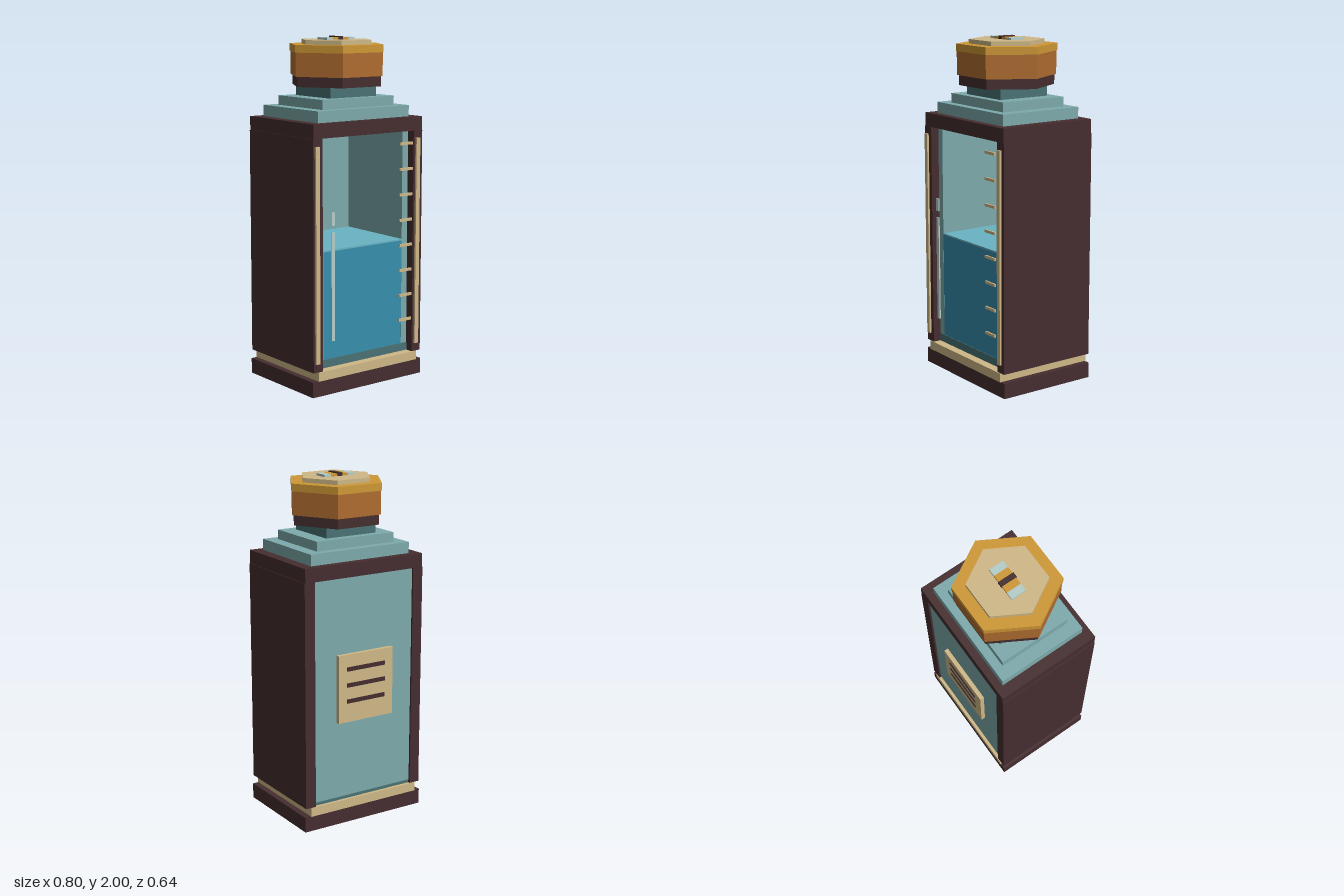
import * as THREE from 'three';

const mat = (name, color) => {
  const m = new THREE.MeshStandardMaterial({ color });
  m.name = name;
  return m;
};

export function createModel() {
  const darkWood = mat('dark wood', 0x452d2f);
  const teal = mat('teal', 0x7eaaac);
  const deepTeal = mat('deep teal', 0x4a7274);
  const tan = mat('tan', 0xcfb887);
  const gold = mat('gold', 0xce9835);
  const amber = mat('amber', 0xae6c2f);
  const pale = mat('pale glass', 0xb5cdc9);
  const liquid = mat('liquid', 0x368eac);
  const surface = mat('liquid surface', 0x6ab4c5);

  const model = new THREE.Group();
  model.name = 'bottle';

  // Box from its min and max corners
  const box = (name, m, [x0, x1], [y0, y1], [z0, z1]) => {
    const mesh = new THREE.Mesh(new THREE.BoxGeometry(x1 - x0, y1 - y0, z1 - z0), m);
    mesh.position.set((x0 + x1) / 2, (y0 + y1) / 2, (z0 + z1) / 2);
    mesh.name = name;
    model.add(mesh);
  };
  // Box centred on x and z
  const slab = (name, m, hx, y, hz) => box(name, m, [-hx, hx], y, [-hz, hz]);
  // Hexagonal layer with corners on the x axis
  const hex = (name, m, r, y0, y1) => {
    const geo = new THREE.CylinderGeometry(r, r, y1 - y0, 6).toNonIndexed();
    geo.rotateY(Math.PI / 6 * 3);
    geo.computeVertexNormals();
    const mesh = new THREE.Mesh(geo, m);
    mesh.position.y = (y0 + y1) / 2;
    mesh.name = name;
    model.add(mesh);
  };

  // Base
  slab('basePlinth', darkWood, 0.4, [0, 0.09], 0.307);
  slab('baseBand', tan, 0.363, [0.09, 0.143], 0.312);

  // Outer case and inner tank walls
  for (const s of [-1, 1]) {
    const span = (a, b) => (s > 0 ? [a, b] : [-b, -a]);
    box('sidePanel', darkWood, span(0.33, 0.395), [0.143, 1.46], [-0.307, 0.307]);
    box('tankSideWall', teal, span(0.288, 0.33), [0.19, 1.46], [-0.245, 0.257]);
  }
  slab('topFrame', darkWood, 0.391, [1.46, 1.54], 0.307);
  box('tankBack', teal, [-0.33, 0.33], [0.163, 1.46], [-0.296, -0.245]);
  box('tankFloor', deepTeal, [-0.33, 0.33], [0.143, 0.19], [-0.293, 0.26]);

  // Liquid
  box('liquidBody', liquid, [-0.288, 0.288], [0.19, 0.812], [-0.245, 0.256]);
  box('liquidSurface', surface, [-0.288, 0.288], [0.812, 0.821], [-0.245, 0.256]);

  // Front trims, measuring ticks and glints
  box('frontTrim', tan, [-0.384, -0.357], [0.193, 1.418], [0.307, 0.319]);
  box('frontTrim', tan, [0.343, 0.371], [0.193, 1.418], [0.307, 0.319]);
  for (let i = 0; i < 8; i++) {
    const y = 0.35 + i * 0.1487;
    box('measureTick', tan, [0.223, 0.317], [y - 0.008, y + 0.008], [0.306, 0.316]);
  }
  box('longGlint', pale, [-0.274, -0.25], [0.31, 0.93], [0.307, 0.315]);
  box('shortGlint', pale, [-0.274, -0.25], [0.97, 1.045], [0.307, 0.315]);

  // Rear label plate with slots
  box('rearPlate', tan, [-0.184, 0.184], [0.62, 1.02], [-0.321, -0.296]);
  for (const y of [0.745, 0.84, 0.935]) {
    box('rearSlot', darkWood, [-0.128, 0.128], [y - 0.012, y + 0.012], [-0.326, -0.32]);
  }

  // Stepped shoulders and neck
  slab('lowerShoulder', teal, 0.328, [1.54, 1.605], 0.263);
  slab('upperShoulder', teal, 0.257, [1.605, 1.66], 0.212);
  slab('neck', deepTeal, 0.165, [1.66, 1.725], 0.164);

  // Hexagonal stopper
  hex('stopperFoot', darkWood, 0.275, 1.72, 1.778);
  hex('stopperBody', amber, 0.286, 1.778, 1.913);
  hex('stopperRim', gold, 0.291, 1.913, 1.956);
  hex('stopperTop', tan, 0.217, 1.956, 1.981);

  // Inlay on the stopper
  for (const s of [-1, 1]) {
    box('inlayEnd', pale, s > 0 ? [0.057, 0.1] : [-0.1, -0.057], [1.981, 1.994], [-0.044, 0.044]);
  }
  slab('inlayMiddle', gold, 0.057, [1.981, 1.994], 0.044);
  slab('inlayBar', darkWood, 0.015, [1.981, 2], 0.048);

  return model;
}
